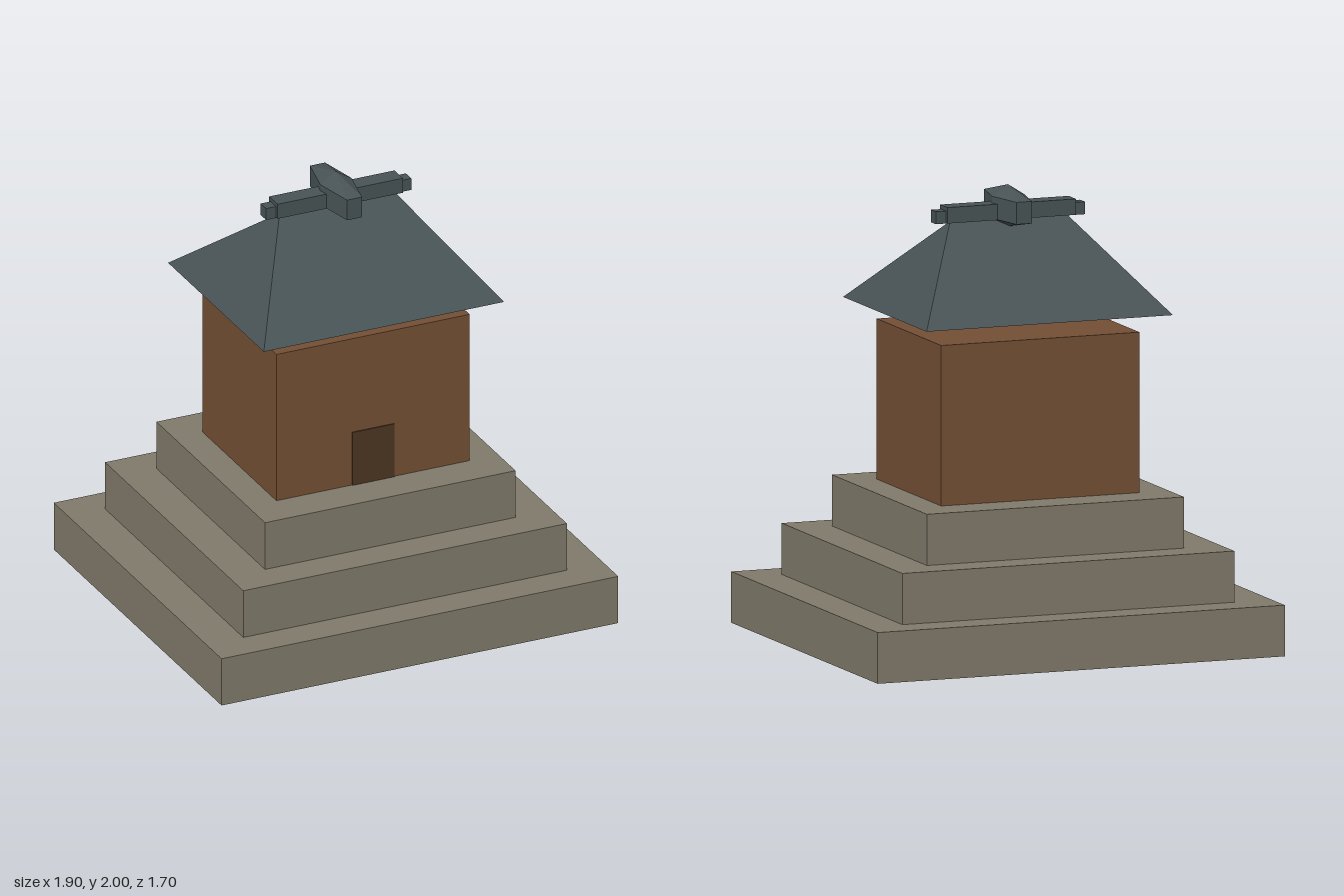
import * as THREE from 'three';
import { ConvexGeometry } from 'three/addons/geometries/ConvexGeometry.js';

const material = (name, color) =>
  new THREE.MeshStandardMaterial({ name, color, side: THREE.DoubleSide });

// Box given by half sizes and bottom/top heights, without a floor
function openBox(hx, y0, y1, hz) {
  const geometry = new THREE.BoxGeometry(2 * hx, y1 - y0, 2 * hz);
  const index = Array.from(geometry.index.array);
  index.splice(18, 6);
  geometry.setIndex(index);
  geometry.clearGroups();
  return geometry.translate(0, (y0 + y1) / 2, 0);
}

// Hollow hipped roof shell: rectangular eaves rising to a short ridge
function hipRoof(hx, hz, y0, ridge, y1) {
  const a = [-hx, y0, -hz], b = [hx, y0, -hz], c = [hx, y0, hz], d = [-hx, y0, hz];
  const e = [-ridge, y1, 0], f = [ridge, y1, 0];
  const faces = [d, c, f, d, f, e, c, b, f, b, a, e, b, e, f, a, d, e];
  const geometry = new THREE.BufferGeometry();
  geometry.setAttribute('position', new THREE.Float32BufferAttribute(faces.flat(), 3));
  geometry.computeVertexNormals();
  return geometry;
}

export function createModel() {
  const group = new THREE.Group();
  group.name = 'shrine';
  const stone = material('stone', 0x80796a);
  const wood = material('wood', 0x734f34);
  const darkWood = material('darkWood', 0x4b3522);
  const slate = material('slate', 0x485355);

  const add = (name, geometry, mat) => {
    const mesh = new THREE.Mesh(geometry, mat);
    mesh.name = name;
    group.add(mesh);
    return mesh;
  };

  // Stepped stone platform
  [[0.95, 0.85], [0.775, 0.7], [0.6, 0.55]].forEach(([hx, hz], i) =>
    add(`platformTier${i + 1}`, openBox(hx, i * 0.225, (i + 1) * 0.225, hz), stone));

  // Foundation under the hall, inside the platform
  add('foundation', openBox(0.48, 0.035, 0.15, 0.4), stone);

  // Hall and its front door
  add('hall', openBox(0.4625, 0.15, 1.38, 0.375), wood);
  const door = add('door', new THREE.BoxGeometry(0.2, 0.255, 0.008), darkWood);
  door.position.set(0, 0.8025, 0.376);

  // Roof and ridge beams
  add('roof', hipRoof(0.575, 0.485, 1.465, 0.27, 1.855), slate);
  const ridge = add('ridgeBeam', new THREE.BoxGeometry(0.6, 0.07, 0.085), slate);
  ridge.position.y = 1.888;
  const pole = add('ridgePole', new THREE.BoxGeometry(0.695, 0.055, 0.055), slate);
  pole.position.y = 1.878;

  // Faceted crosspiece, widest in the middle and narrowing to both ends
  const points = [new THREE.Vector3(0, 2, 0), new THREE.Vector3(0, 1.815, 0)];
  for (const side of [-1, 1]) {
    for (const y of [1.855, 1.952]) {
      points.push(new THREE.Vector3(side * 0.075, y, 0));
      for (const end of [-1, 1]) points.push(new THREE.Vector3(side * 0.036, y, end * 0.188));
    }
  }
  add('ridgeCrosspiece', new ConvexGeometry(points), slate);

  return group;
}
